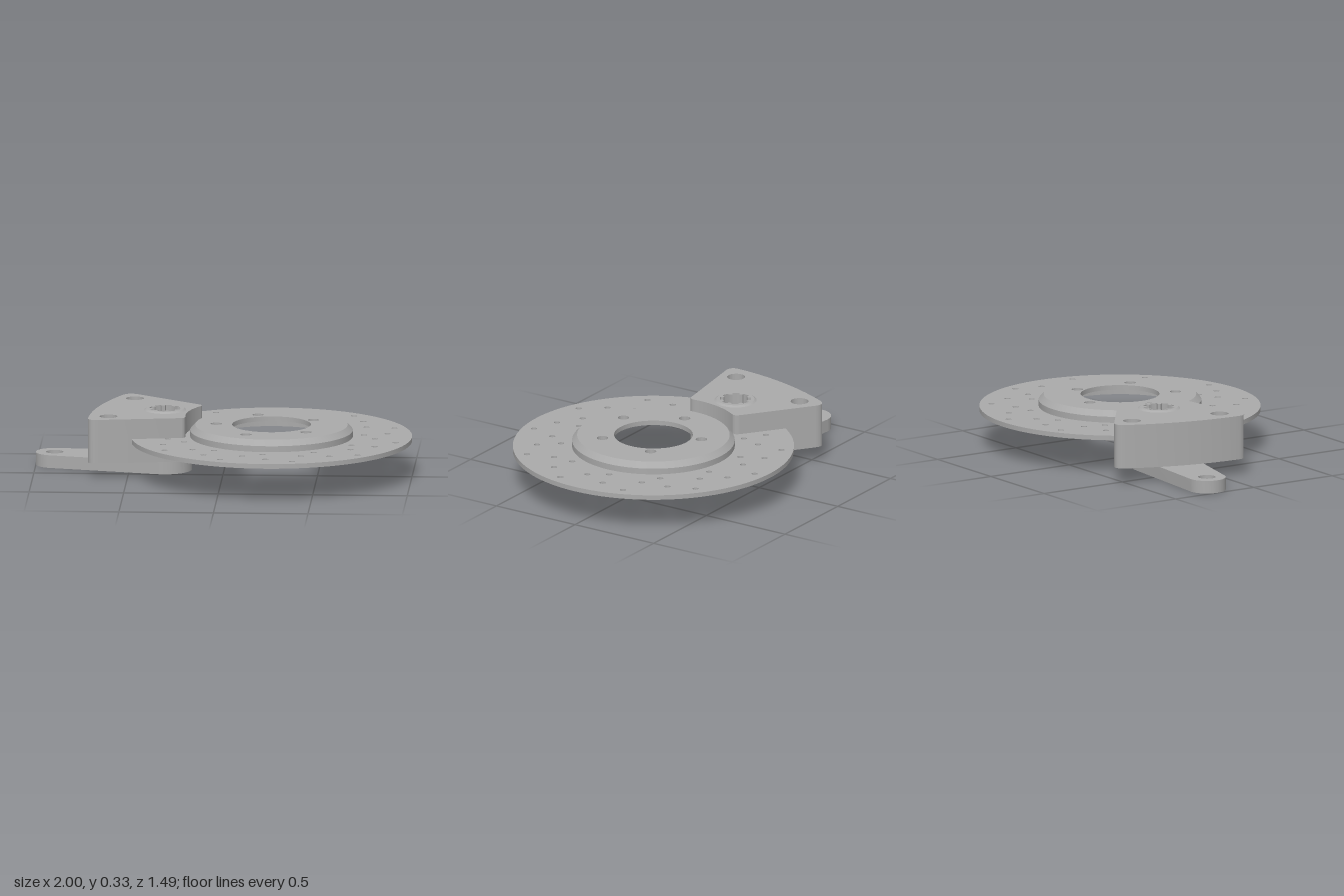
import * as THREE from 'three';
import { toCreasedNormals } from 'three/addons/utils/BufferGeometryUtils.js';

const CX = 0.257; // rotor axis

export function createModel() {
  const model = new THREE.Group();
  model.name = 'discBrake';
  const steel = new THREE.MeshStandardMaterial({ color: 0xaaaaaa });
  steel.name = 'grey steel';

  const add = (name, geometry, parent = model) => {
    const mesh = new THREE.Mesh(toCreasedNormals(geometry, 0.5), steel);
    mesh.name = name;
    parent.add(mesh);
    return mesh;
  };
  const group = (name) => {
    const g = new THREE.Group();
    g.name = name;
    model.add(g);
    return g;
  };
  // Plan shapes use (x, z); plates are extruded downwards from y = top
  const circle = (x, z, r) => new THREE.Shape().absarc(x, z, r, 0, Math.PI * 2, false);
  const plate = (shape, bottom, top, curveSegments = 24) =>
    new THREE.ExtrudeGeometry(shape, { depth: top - bottom, bevelEnabled: false, curveSegments })
      .rotateX(Math.PI / 2).translate(0, top, 0);
  const rad = THREE.MathUtils.degToRad;

  // Rotor: four rings of eleven drilled holes
  const rotor = group('rotor');
  const disc = circle(CX, 0, 0.743);
  disc.holes.push(circle(CX, 0, 0.378));
  for (const [r, phase] of [[0.68, 12.5], [0.615, -8], [0.552, 5.3], [0.489, -5.4]]) {
    for (let i = 0; i < 11; i++) {
      const a = rad(phase) + (i * Math.PI * 2) / 11;
      disc.holes.push(circle(CX + r * Math.cos(a), r * Math.sin(a), 0.0165));
    }
  }
  add('brakeDisc', plate(disc, 0.188, 0.213, 48), rotor);

  // Hat: chamfered hollow ring with a flat bolt flange
  const ring = [[0.378, 0.213], [0.43, 0.213], [0.43, 0.245], [0.403, 0.275], [0.378, 0.275], [0.378, 0.213]]
    .map(([x, y]) => new THREE.Vector2(x, y));
  add('hatRing', new THREE.LatheGeometry(ring, 96).translate(CX, 0, 0), rotor);
  const flange = circle(CX, 0, 0.378);
  flange.holes.push(circle(CX, 0, 0.208));
  for (let i = 0; i < 5; i++) {
    const a = rad(-31.8 + i * 72);
    flange.holes.push(circle(0.239 + 0.275 * Math.cos(a), 0.018 + 0.275 * Math.sin(a), 0.03));
  }
  add('hatFlange', plate(flange, 0.25, 0.275, 48), rotor);

  // Caliper: fan-shaped block hugging the hat
  const px = -0.313, pz = -0.139; // pivot
  const body = new THREE.Shape();
  body.moveTo(-0.475, -0.535);
  body.lineTo(-0.14, -0.285);
  body.quadraticCurveTo(-0.113, -0.265, -0.13, -0.24);
  body.absarc(CX, 0, 0.455, rad(211.8), rad(174.3), true);
  body.quadraticCurveTo(-0.196, 0.075, -0.22, 0.08);
  body.lineTo(-0.65, 0.15);
  body.quadraticCurveTo(-0.708, 0.16, -0.708, 0.105);
  body.quadraticCurveTo(-0.702, -0.21, -0.553, -0.52);
  body.quadraticCurveTo(-0.523, -0.572, -0.475, -0.535);
  body.holes.push(circle(-0.487, -0.43, 0.047), circle(-0.602, 0.051, 0.047), circle(px, pz, 0.1));
  const caliper = group('caliper');
  add('caliperBody', plate(body, 0.085, 0.32), caliper);

  // Splined bush with a chamfered collar
  const spline = new THREE.Path();
  const teeth = 8;
  for (let i = 0; i < teeth; i++) {
    const step = (Math.PI * 2) / teeth, a = i * step;
    for (const [r, from, to] of [[0.083, 0, 0.58], [0.067, 0.64, 0.94]]) {
      for (let k = 0; k <= 3; k++) {
        const t = a + step * (from + ((to - from) * k) / 3);
        const x = px + r * Math.cos(t), z = pz + r * Math.sin(t);
        if (i + k === 0 && from === 0) spline.moveTo(x, z);
        else spline.lineTo(x, z);
      }
    }
  }
  spline.closePath();
  const bush = circle(px, pz, 0.1);
  bush.holes.push(spline);
  add('splinedBush', plate(bush, 0.075, 0.328), caliper);
  add('bushCollar', new THREE.CylinderGeometry(0.1, 0.112, 0.008, 48, 1, true).translate(px, 0.324, pz), caliper);
  add('shaftEnd', new THREE.CylinderGeometry(0.09, 0.09, 0.15, 48).translate(px, 0.145, pz), caliper);

  // Lever arm: hull of a small eye and a large pivot end
  const ex = -0.901, ez = -0.233, er = 0.1, pr = 0.143;
  const dir = Math.atan2(pz - ez, px - ex);
  const spread = Math.acos((er - pr) / Math.hypot(px - ex, pz - ez));
  const arm = new THREE.Shape();
  arm.absarc(px, pz, pr, dir - spread, dir + spread, false);
  arm.absarc(ex, ez, er, dir + spread, dir - spread + Math.PI * 2, false);
  arm.closePath();
  arm.holes.push(circle(ex, ez, 0.046));
  const lever = group('lever');
  add('leverArm', plate(arm, 0, 0.068), lever);
  add('leverPivot', new THREE.CylinderGeometry(0.138, 0.138, 0.02, 48).translate(px, 0.066, pz), lever);

  return model;
}
